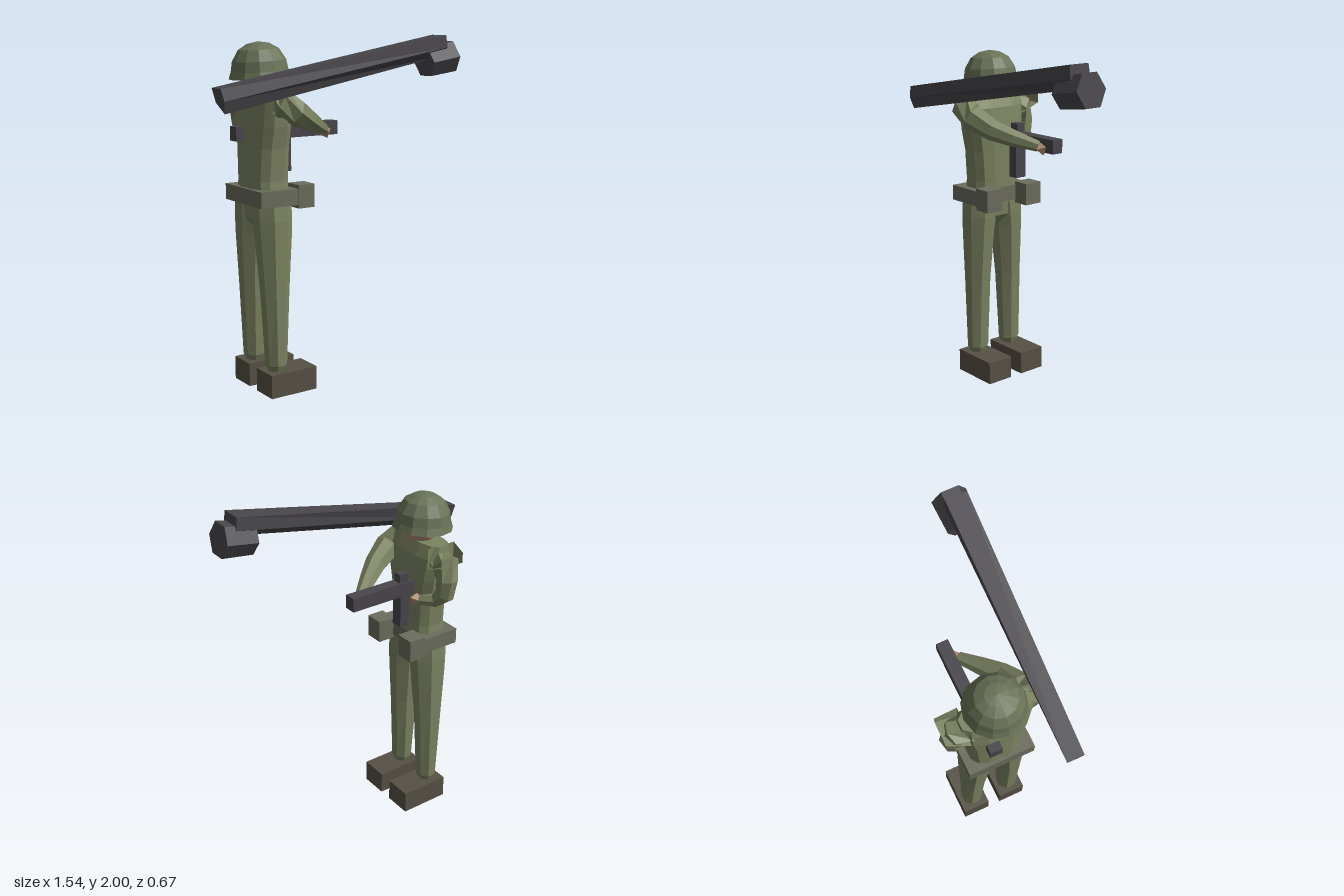
import * as THREE from 'three';

const MID = -0.028; // z of the body's plane of symmetry
const V = (x, y, z) => new THREE.Vector3(x, y, z);
const mat = (color, side = THREE.FrontSide) => new THREE.MeshStandardMaterial({ color, flatShading: true, side });

// Skin a stack of corner rings (counterclockwise about the path) and cap both ends
function loft(rings) {
  const pos = [], n = rings[0].length;
  const tri = (...p) => p.forEach(q => pos.push(q.x, q.y, q.z));
  for (let i = 0; i < rings.length - 1; i++) {
    for (let j = 0; j < n; j++) {
      const k = (j + 1) % n;
      const a = rings[i][j], b = rings[i][k], c = rings[i + 1][k], d = rings[i + 1][j];
      tri(a, b, c);
      tri(a, c, d);
    }
  }
  const first = rings[0], last = rings[rings.length - 1];
  for (let j = 1; j < n - 1; j++) {
    tri(first[0], first[j + 1], first[j]);
    tri(last[0], last[j], last[j + 1]);
  }
  const g = new THREE.BufferGeometry();
  g.setAttribute('position', new THREE.Float32BufferAttribute(pos, 3));
  g.computeVertexNormals();
  return g;
}

// Ring around centre c with half-axes u and v; power below 1 squares it off
function ring(c, u, v, sides, power = 1) {
  const f = t => Math.sign(t) * Math.abs(t) ** power;
  return Array.from({ length: sides }, (_, i) => {
    const a = (i + 0.5) / sides * Math.PI * 2;
    return c.clone().addScaledVector(u, f(Math.cos(a))).addScaledVector(v, f(Math.sin(a)));
  });
}

// Upright body part from rows of [y, x, z, half x, half z]
const upright = (rows, sides, power) => loft(rows.map(([y, x, z, rx, rz]) =>
  ring(V(x, y, z), V(0, 0, rz), V(rx, 0, 0), sides, power)));

// Limb through rows of [x, y, z, radius], rings square to the path
function limb(rows, sides = 7) {
  const pts = rows.map(r => V(r[0], r[1], r[2]));
  return loft(rows.map((r, i) => {
    const d = pts[Math.min(i + 1, pts.length - 1)].clone().sub(pts[Math.max(i - 1, 0)]).normalize();
    const u = V(1, 0.3, 0.9).cross(d).normalize();
    return ring(pts[i], u.clone().multiplyScalar(r[3]), d.clone().cross(u).multiplyScalar(r[3]), sides);
  }));
}

export function createModel() {
  const model = new THREE.Group();
  const cloth = mat(0x7d8462), helmetMat = mat(0x697357, THREE.DoubleSide), skin = mat(0xb28d72);
  const webbing = mat(0x6b6d5d), leather = mat(0x575146), metal = mat(0x48464b);

  const add = (name, geometry, material) => {
    const m = new THREE.Mesh(geometry, material);
    m.name = name;
    model.add(m);
    return m;
  };
  // Box given by its lower and upper limits
  const box = (name, material, x0, x1, y0, y1, z0, z1) =>
    add(name, new THREE.BoxGeometry(x1 - x0, y1 - y0, z1 - z0), material)
      .position.set((x0 + x1) / 2, (y0 + y1) / 2, (z0 + z1) / 2);

  // Boots, legs and belt pouches, once per side
  for (const [s, side] of [[1, 'right'], [-1, 'left']]) {
    const z = d => MID + s * d;
    const span = (a, b) => [Math.min(z(a), z(b)), Math.max(z(a), z(b))];
    box(side + 'Boot', leather, -0.44, -0.14, 0, 0.135, ...span(0.04, 0.207));
    add(side + 'Leg', upright([
      [0.13, -0.36, z(0.123), 0.045, 0.048],
      [0.17, -0.36, z(0.123), 0.062, 0.066],
      [0.6, -0.362, z(0.117), 0.085, 0.078],
      [0.9, -0.362, z(0.106), 0.107, 0.095],
      [1.0, -0.362, z(0.098), 0.113, 0.104],
      [1.1, -0.362, z(0.09), 0.113, 0.106],
    ], 8), cloth);
    box(side + 'Pouch', webbing, -0.255, -0.15, 1.065, 1.195, ...span(0.09, 0.203));
  }

  // Trunk, with hips closing the gap between the legs
  add('hips', upright([
    [0.94, -0.362, MID, 0.05, 0.05],
    [1.0, -0.362, MID, 0.1, 0.12],
    [1.12, -0.362, MID, 0.11, 0.185],
  ], 8), cloth);
  add('torso', upright([
    [1.1, -0.362, MID, 0.112, 0.165],
    [1.22, -0.362, MID, 0.112, 0.155],
    [1.4, -0.36, MID, 0.11, 0.17],
    [1.52, -0.358, MID, 0.112, 0.195],
    [1.65, -0.362, MID, 0.1, 0.21],
    [1.72, -0.37, MID, 0.075, 0.2],
  ], 12, 0.7), cloth);
  box('belt', webbing, -0.49, -0.25, 1.085, 1.175, -0.225, 0.17);

  // Right arm reaches across to the fore-end; left arm folds to the grip
  add('rightArm', limb([
    [-0.37, 1.66, 0.1, 0.075],
    [-0.355, 1.645, 0.165, 0.08],
    [-0.28, 1.605, 0.165, 0.077],
    [-0.16, 1.545, 0.12, 0.062],
    [-0.06, 1.505, 0.05, 0.05],
    [0.055, 1.465, -0.035, 0.032],
  ]), cloth);
  add('leftArm', limb([
    [-0.37, 1.63, -0.17, 0.08],
    [-0.365, 1.625, -0.245, 0.08],
    [-0.36, 1.54, -0.275, 0.06],
    [-0.355, 1.45, -0.265, 0.055],
    [-0.33, 1.405, -0.215, 0.045],
    [-0.27, 1.4, -0.15, 0.032],
  ]), cloth);
  // Raised fold of the sleeve at the left shoulder
  const fold = (z, y, t, h) => [V(-0.46 + t, y, z), V(-0.46 + t, y - h, z), V(-0.28, y - h, z), V(-0.28, y, z)];
  add('leftShoulderFold', loft([fold(-0.325, 1.707, 0.04, 0.06), fold(-0.2, 1.718, 0, 0.12)]
    .map(r => r.reverse())), cloth);

  // Hands
  for (const [name, x, y, z] of [['rightHand', 0.07, 1.45, -0.045], ['leftHand', -0.255, 1.4, -0.135]]) {
    const hand = add(name, new THREE.OctahedronGeometry(0.04), skin);
    hand.position.set(x, y, z);
    hand.rotation.z = 0.4;
  }

  // Head under an open helmet with a flared brim
  const head = add('head', new THREE.IcosahedronGeometry(0.11, 1), skin);
  head.position.set(-0.36, 1.79, MID);
  const dome = [[0.172, -0.005], [0.158, 0.035], [0.148, 0.09], [0.112, 0.15], [0.062, 0.18], [0, 0.192]];
  const helmet = add('helmet', new THREE.LatheGeometry(dome.map(p => new THREE.Vector2(...p)), 12), helmetMat);
  helmet.position.set(-0.37, 1.78, -0.033);
  helmet.rotation.z = 0.06;

  // Rifle, running through to the shoulder
  box('rifleBody', metal, -0.515, 0.16, 1.43, 1.51, -0.12, -0.05);
  box('rifleMagazine', metal, -0.22, -0.16, 1.24, 1.43, -0.12, -0.05);
  box('rifleSight', metal, -0.22, -0.16, 1.505, 1.56, -0.11, -0.06);

  // Launcher tube, deeper at the rear, with a six-sided warhead
  add('launcherTube', loft([
    [V(-0.775, 1.745, 0.165), V(-0.775, 1.745, 0.26), V(-0.762, 1.68, 0.275), V(-0.75, 1.615, 0.255), V(-0.76, 1.67, 0.18)],
    [V(0.67, 2.0, 0.18), V(0.67, 2.0, 0.305), V(0.68, 1.93, 0.31), V(0.69, 1.88, 0.25), V(0.68, 1.93, 0.175)],
  ]), metal);
  const warhead = add('launcherWarhead', new THREE.CylinderGeometry(0.1, 0.092, 0.19, 6), metal);
  warhead.position.set(0.66, 1.862, 0.238);
  warhead.rotation.z = -Math.PI / 2 + 0.17;

  return model;
}
